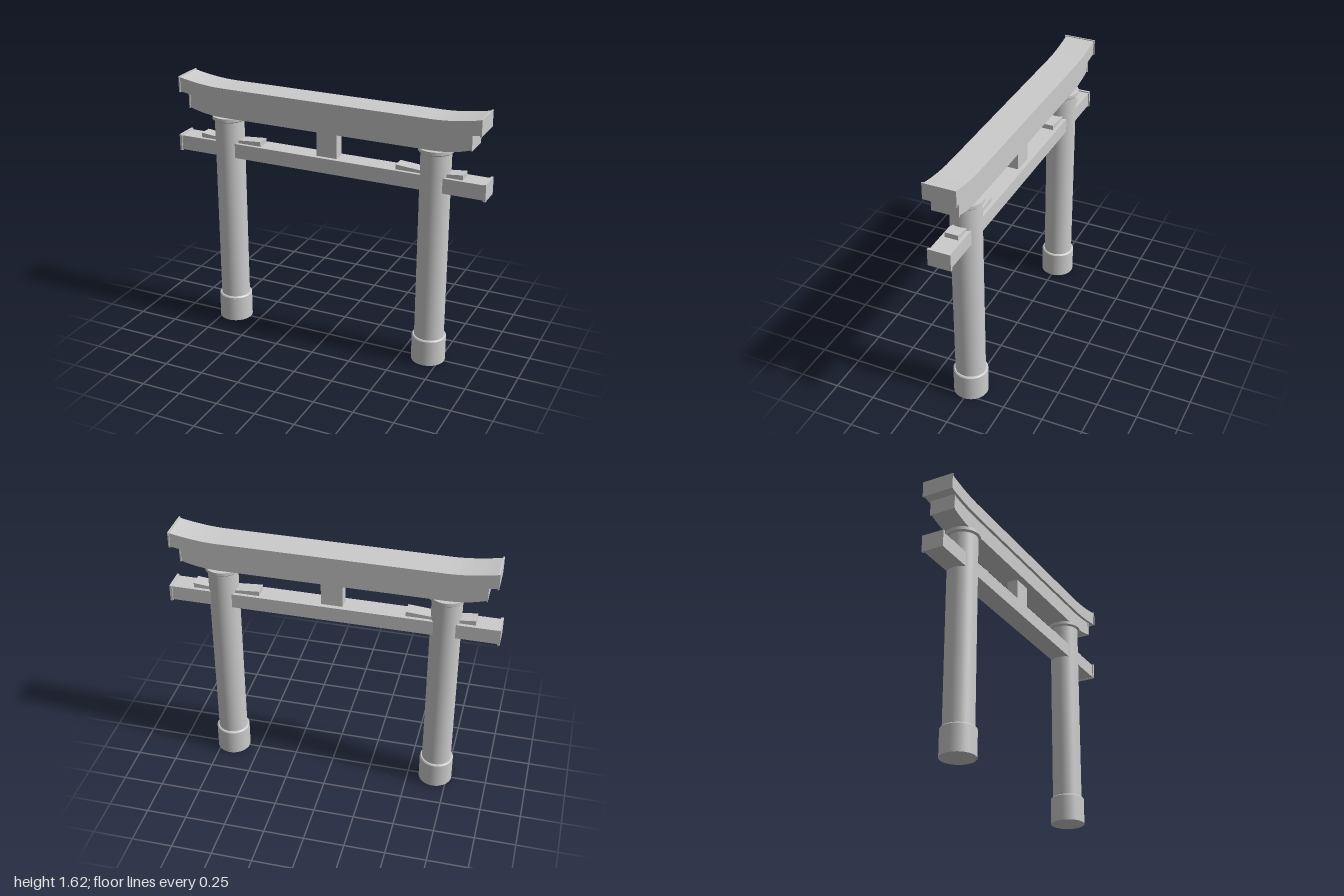
import * as THREE from 'three';

const material = new THREE.MeshStandardMaterial({ color: 0xcccccc });

function add(parent, name, geometry, x = 0, y = 0, z = 0) {
  const mesh = new THREE.Mesh(geometry, material);
  mesh.name = name;
  mesh.position.set(x, y, z);
  parent.add(mesh);
  return mesh;
}

// Box given by its x and y limits and its depth in z
function addBox(parent, name, x0, x1, y0, y1, depth) {
  const geometry = new THREE.BoxGeometry(x1 - x0, y1 - y0, depth);
  return add(parent, name, geometry, (x0 + x1) / 2, (y0 + y1) / 2);
}

// Side outline pushed out along z and centred on z = 0
function extrudeZ(shape, depth) {
  const geometry = new THREE.ExtrudeGeometry(shape, { depth, bevelEnabled: false, curveSegments: 8 });
  return geometry.translate(0, 0, -depth / 2);
}

// Beam that is straight in the middle and sweeps upward at both ends
function upsweptBeam(half, bottom, top, riseBottom, riseTop, depth) {
  const flat = 0.67, bend = 0.8;
  const shape = new THREE.Shape();
  shape.moveTo(-flat, bottom);
  shape.lineTo(flat, bottom);
  shape.quadraticCurveTo(bend, bottom, half, bottom + riseBottom);
  shape.lineTo(half, top + riseTop);
  shape.quadraticCurveTo(bend, top, flat, top);
  shape.lineTo(-flat, top);
  shape.quadraticCurveTo(-bend, top, -half, top + riseTop);
  shape.lineTo(-half, bottom + riseBottom);
  shape.quadraticCurveTo(-bend, bottom, -flat, bottom);
  return extrudeZ(shape, depth);
}

// Round solid from [radius, height] pairs; repeated points keep edges sharp
function turned(profile) {
  const points = [];
  profile.forEach(([r, y], i) => {
    points.push(new THREE.Vector2(r, y));
    if (i > 0 && i < profile.length - 1) points.push(new THREE.Vector2(r, y));
  });
  return new THREE.LatheGeometry(points, 40);
}

export function createModel() {
  const gate = new THREE.Group();
  gate.name = 'gate';

  const postX = 0.675;

  // Curved top beam and the narrower beam under it
  add(gate, 'topBeam', upsweptBeam(0.96, 1.493, 1.578, 0.029, 0.034, 0.188));
  add(gate, 'underBeam', upsweptBeam(0.905, 1.387, 1.494, 0.037, 0.02, 0.153));

  // Straight tie beam and centre strut
  addBox(gate, 'tieBeam', -0.99, 0.99, 1.131, 1.223, 0.126);
  addBox(gate, 'centreStrut', -0.066, 0.066, 1.22, 1.39, 0.07);

  for (const side of [-1, 1]) {
    const label = side > 0 ? 'left' : 'right';

    // Post with stone foot and collar
    const post = new THREE.Group();
    post.name = label + 'Post';
    post.position.x = side * postX;
    gate.add(post);
    add(post, 'shaft', turned([[0, 0.1], [0.091, 0.1], [0.091, 1.37], [0, 1.37]]));
    add(post, 'foot', turned([[0, 0], [0.105, 0], [0.105, 0.163], [0.099, 0.17], [0, 0.17]]));
    add(post, 'collar', turned([[0, 1.36], [0.099, 1.36], [0.106, 1.367], [0.106, 1.387], [0, 1.387]]));

    // Wedges either side of the post, thicker at the free end
    for (const [name, tip] of [['outerWedge', 0.178], ['innerWedge', -0.232]]) {
      const dx = side * tip;
      const shape = new THREE.Shape();
      shape.moveTo(0, 1.215);
      shape.lineTo(dx, 1.215);
      shape.lineTo(dx, 1.253);
      shape.lineTo(0, 1.235);
      shape.closePath();
      add(post, name, extrudeZ(shape, 0.082));
    }

    // Thin end plates, slightly larger than the beams they close
    const plate = (name, inner, outer, y0, y1, depth) =>
      addBox(gate, label + name, Math.min(side * inner, side * outer), Math.max(side * inner, side * outer), y0, y1, depth);
    plate('TopBeamPlate', 0.958, 0.967, 1.517, 1.617, 0.2);
    plate('UnderBeamPlate', 0.902, 0.91, 1.419, 1.515, 0.164);
    plate('TieBeamPlate', 0.985, 1.0, 1.125, 1.23, 0.14);
  }

  return gate;
}
